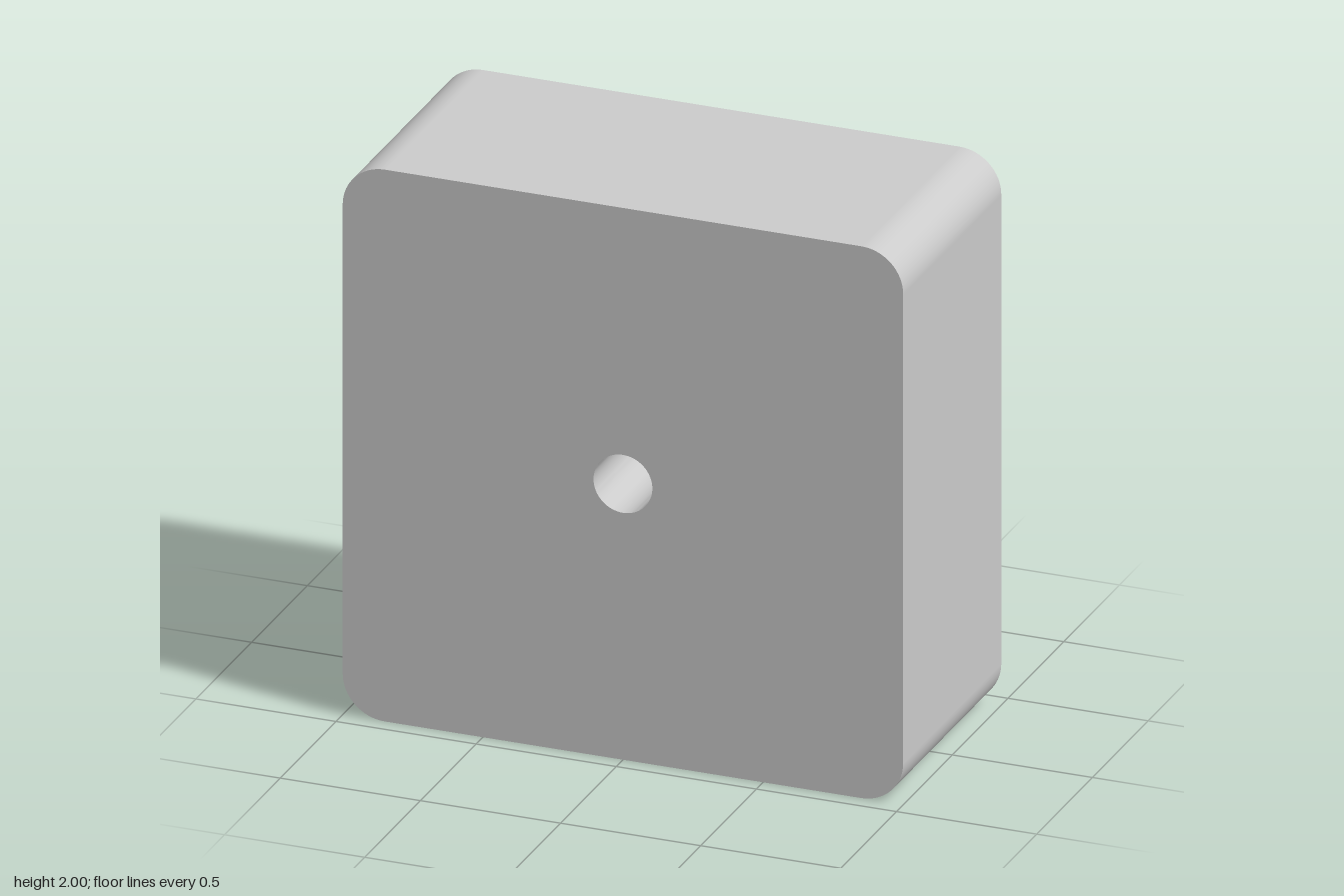
import * as THREE from 'three';
import { toCreasedNormals } from 'three/addons/utils/BufferGeometryUtils.js';

const HALF = 1, DEPTH = 0.44, CORNER = 0.15, ARC = 16, ROUND = 64;

// Blind bores: side is +1 for the front face, -1 for the back face
const BORES = [
  { name: 'frontBore', side: 1, y: 1, r: 0.105, depth: 0.35 },
  { name: 'backMainBore', side: -1, y: 1, r: 0.245, depth: 0.35 },
  { name: 'backSmallBore', side: -1, y: 0.2, r: 0.083, depth: 0.35 },
];

export function createModel() {
  const group = new THREE.Group();
  const material = new THREE.MeshStandardMaterial({ color: 0xcccccc });
  const add = (name, geometry) => {
    const mesh = new THREE.Mesh(geometry, material);
    mesh.name = name;
    group.add(mesh);
    return mesh;
  };

  // Rounded-square outline, counter-clockwise, with its outward normals
  const outline = [], normals = [];
  for (let c = 0; c < 4; c++) {
    const mid = (c + 0.5) * Math.PI / 2;
    const cx = Math.sign(Math.cos(mid)) * (HALF - CORNER);
    const cy = Math.sign(Math.sin(mid)) * (HALF - CORNER) + HALF;
    for (let i = 0; i <= ARC; i++) {
      const a = (c + i / ARC) * Math.PI / 2;
      const n = new THREE.Vector2(Math.cos(a), Math.sin(a));
      normals.push(n);
      outline.push(new THREE.Vector2(cx + n.x * CORNER, cy + n.y * CORNER));
    }
  }

  // Outer wall: smooth corners between flat sides
  const pos = [], nor = [], idx = [];
  outline.forEach((p, i) => {
    const n = normals[i], a = 2 * i, b = 2 * ((i + 1) % outline.length);
    pos.push(p.x, p.y, DEPTH, p.x, p.y, -DEPTH);
    nor.push(n.x, n.y, 0, n.x, n.y, 0);
    idx.push(a, a + 1, b, b, a + 1, b + 1);
  });
  const wall = new THREE.BufferGeometry();
  wall.setAttribute('position', new THREE.Float32BufferAttribute(pos, 3));
  wall.setAttribute('normal', new THREE.Float32BufferAttribute(nor, 3));
  wall.setIndex(idx);
  add('outerWall', wall);

  // Front and back faces, pierced by their bores
  for (const side of [1, -1]) {
    const shape = new THREE.Shape(outline);
    for (const bore of BORES.filter((b) => b.side === side)) {
      shape.holes.push(new THREE.Path().absarc(0, bore.y, bore.r, 0, Math.PI * 2, true));
    }
    const face = new THREE.ShapeGeometry(shape, ROUND / 2);
    if (side < 0) face.rotateY(Math.PI);
    face.translate(0, 0, side * DEPTH);
    add(side > 0 ? 'frontFace' : 'backFace', face);
  }

  // Bore walls and flat floors, facing inward
  for (const { name, side, y, r, depth } of BORES) {
    const profile = [[r, 0], [r, -depth], [0, -depth]].map((p) => new THREE.Vector2(...p));
    const bore = toCreasedNormals(new THREE.LatheGeometry(profile, ROUND), 0.6);
    bore.rotateX(side * Math.PI / 2);
    add(name, bore).position.set(0, y, side * DEPTH);
  }

  return group;
}
